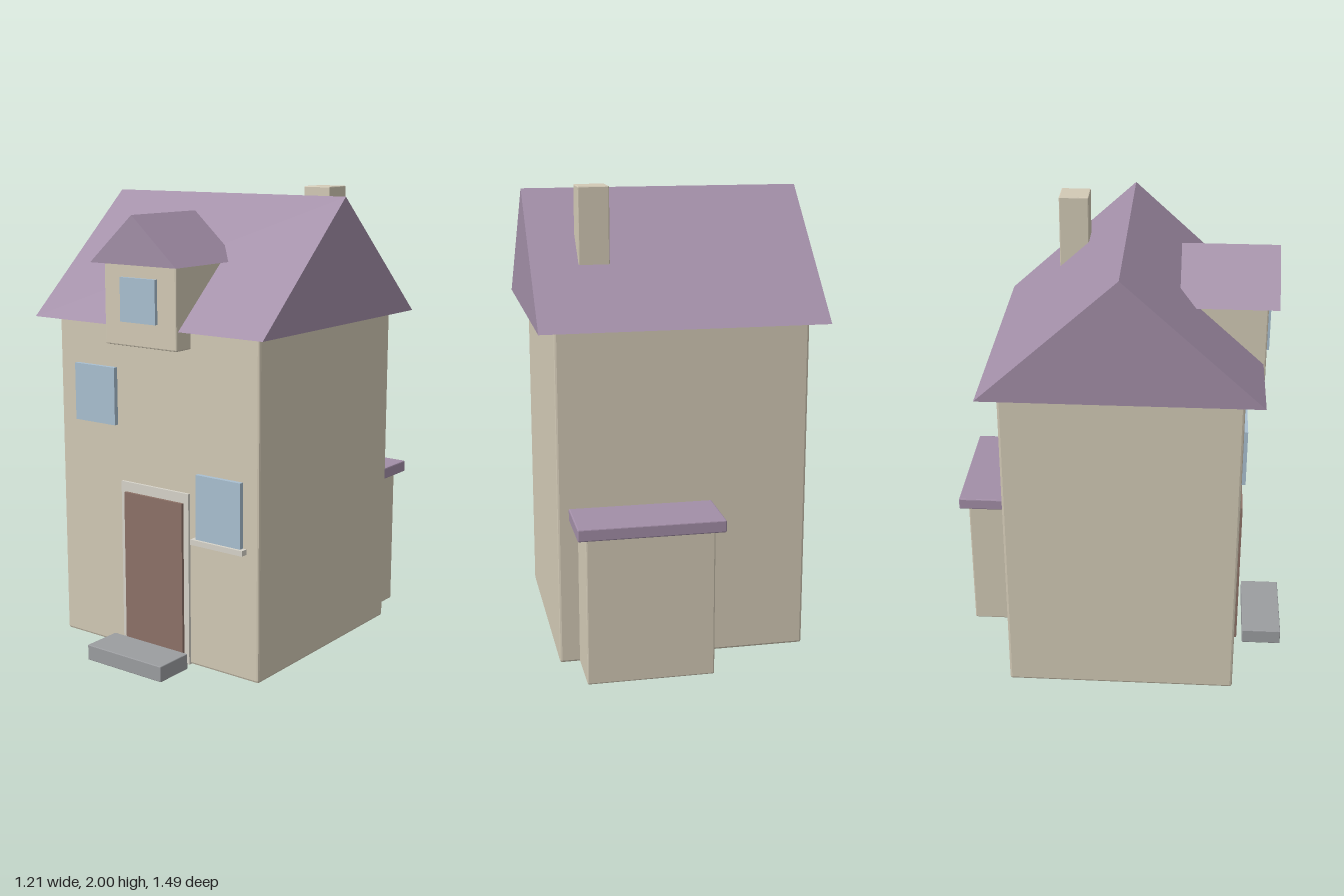
import * as THREE from 'three';
import { RoundedBoxGeometry } from 'three/addons/geometries/RoundedBoxGeometry.js';

const mat = (color) => new THREE.MeshStandardMaterial({ color, flatShading: true });

export function createModel() {
  const house = new THREE.Group();
  house.name = 'house';
  const wall = mat(0xd2c9b5), roofing = mat(0xa28ea7), glass = mat(0xa9bfd0);
  const wood = mat(0x8c7167), trim = mat(0xd6d3c9), stone = mat(0x9b9da0);

  const add = (name, geometry, material) => {
    const mesh = new THREE.Mesh(geometry, material);
    mesh.name = name;
    house.add(mesh);
    return mesh;
  };

  // Box given by its extents, with an optional chamfer
  const box = (name, material, [x0, x1], [y0, y1], [z0, z1], bevel = 0) => {
    const size = [x1 - x0, y1 - y0, z1 - z0];
    const geometry = bevel
      ? new RoundedBoxGeometry(...size, 1, bevel)
      : new THREE.BoxGeometry(...size);
    add(name, geometry, material).position.set((x0 + x1) / 2, (y0 + y1) / 2, (z0 + z1) / 2);
  };

  // Solid gable: triangle in XY, extruded along z
  const gable = (halfWidth, height, length) => {
    const shape = new THREE.Shape([
      new THREE.Vector2(-halfWidth, 0),
      new THREE.Vector2(halfWidth, 0),
      new THREE.Vector2(0, height),
    ]);
    return new THREE.ExtrudeGeometry(shape, { depth: length, bevelEnabled: false });
  };

  // Main volume and roof, ridge running along x
  box('walls', wall, [-0.535, 0.535], [0.005, 1.445], [-0.48, 0.52], 0.01);
  const roof = add('mainRoof', gable(0.58, 0.525, 1.21), roofing);
  roof.rotation.y = Math.PI / 2;
  roof.position.set(-0.605, 1.445, 0.02);

  // Chimney
  box('chimney', wall, [0.275, 0.405], [1.5, 2], [-0.3, -0.17], 0.004);

  // Dormer, ridge running along z
  box('dormerWalls', wall, [-0.19, 0.19], [1.365, 1.71], [0.26, 0.61], 0.006);
  add('dormerRoof', gable(0.226, 0.2, 0.41), roofing).position.set(0, 1.705, 0.245);
  box('dormerWindow', glass, [-0.094, 0.092], [1.467, 1.65], [0.59, 0.625]);

  // Rear annex with a flat roof slab
  box('annexWalls', wall, [-0.085, 0.45], [0.005, 0.645], [-0.71, -0.46], 0.006);
  box('annexRoof', roofing, [-0.122, 0.487], [0.64, 0.692], [-0.747, -0.46], 0.005);

  // Front windows and sill
  box('upperWindow', glass, [-0.435, -0.21], [1, 1.25], [0.5, 0.54]);
  box('lowerWindow', glass, [0.227, 0.455], [0.565, 0.85], [0.5, 0.54]);
  box('windowSill', trim, [0.207, 0.473], [0.55, 0.573], [0.5, 0.552]);

  // Front door, frame and step
  box('doorFrame', trim, [-0.185, 0.182], [0.005, 0.758], [0.5, 0.532]);
  box('door', wood, [-0.159, 0.156], [0, 0.715], [0.5, 0.545]);
  box('doorStep', stone, [-0.203, 0.203], [0.005, 0.073], [0.57, 0.747], 0.003);

  return house;
}
